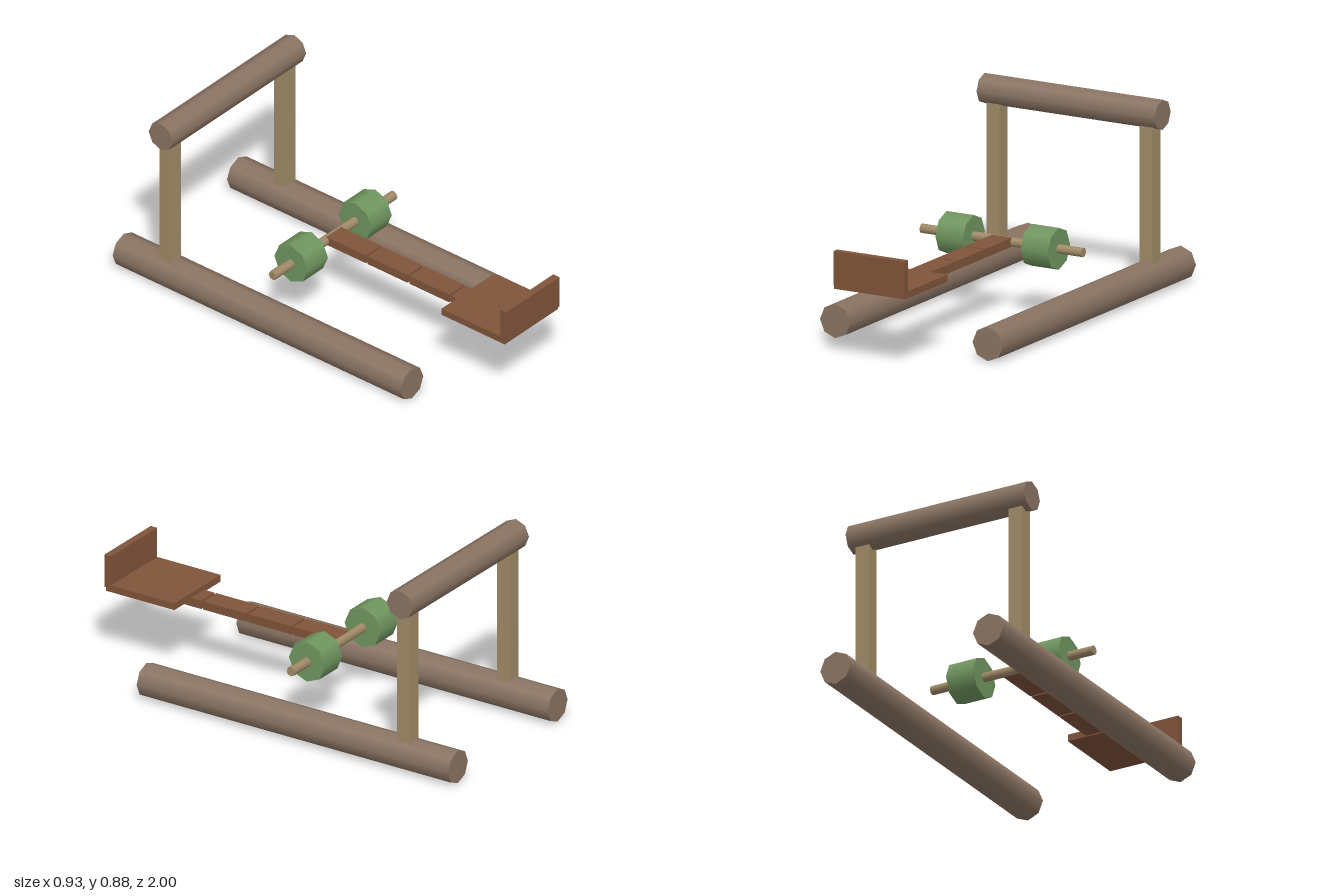
import * as THREE from 'three';

const material = (name, color) => {
  const m = new THREE.MeshStandardMaterial({ color });
  m.name = name;
  return m;
};

export function createModel() {
  const bark = material('bark', 0x8a7463);
  const timber = material('paleTimber', 0xa08b67);
  const green = material('greenPaint', 0x70965f);
  const plank = material('brownPlank', 0x80543a);

  const model = new THREE.Group();
  model.name = 'rowingFrame';

  const add = (name, geometry, mat, x, y, z) => {
    const mesh = new THREE.Mesh(geometry, mat);
    mesh.name = name;
    mesh.position.set(x, y, z);
    model.add(mesh);
    return mesh;
  };
  // Eight-sided round bars with a corner at the top
  const barX = (r, length) => new THREE.CylinderGeometry(r, r, length, 8).rotateZ(Math.PI / 2);
  const barZ = (r, length) => new THREE.CylinderGeometry(r, r, length, 8).rotateX(Math.PI / 2);

  const postZ = -0.737;
  const axleY = 0.321, axleZ = -0.136;

  // Mirrored ground logs, posts and weights
  for (const [side, s] of [['left', 1], ['right', -1]]) {
    add(side + 'GroundLog', barZ(0.077, 1.638), bark, s * 0.387, 0.079, -0.181);
    add(side + 'Post', new THREE.BoxGeometry(0.067, 0.69, 0.067), timber, s * 0.388, 0.445, postZ);
    add(side + 'Weight', barX(0.0945, 0.138), green, s * 0.216, axleY, axleZ);
  }

  // Top crossbar and axle
  add('crossbar', barX(0.068, 0.904), bark, 0, 0.812, postZ);
  add('axle', barX(0.0215, 0.82), timber, 0, axleY, axleZ);

  // Row of four beam planks
  for (let i = 0; i < 4; i++) {
    add('beamPlank' + (i + 1), new THREE.BoxGeometry(0.102, 0.04, 0.227), plank, 0, 0.321, -0.02 + i * 0.237);
  }

  // Seat and upright board at its end
  add('seat', new THREE.BoxGeometry(0.36, 0.032, 0.36), plank, 0, 0.347, 0.812);
  add('seatBack', new THREE.BoxGeometry(0.36, 0.155, 0.034), plank, 0, 0.425, 0.983);

  return model;
}
